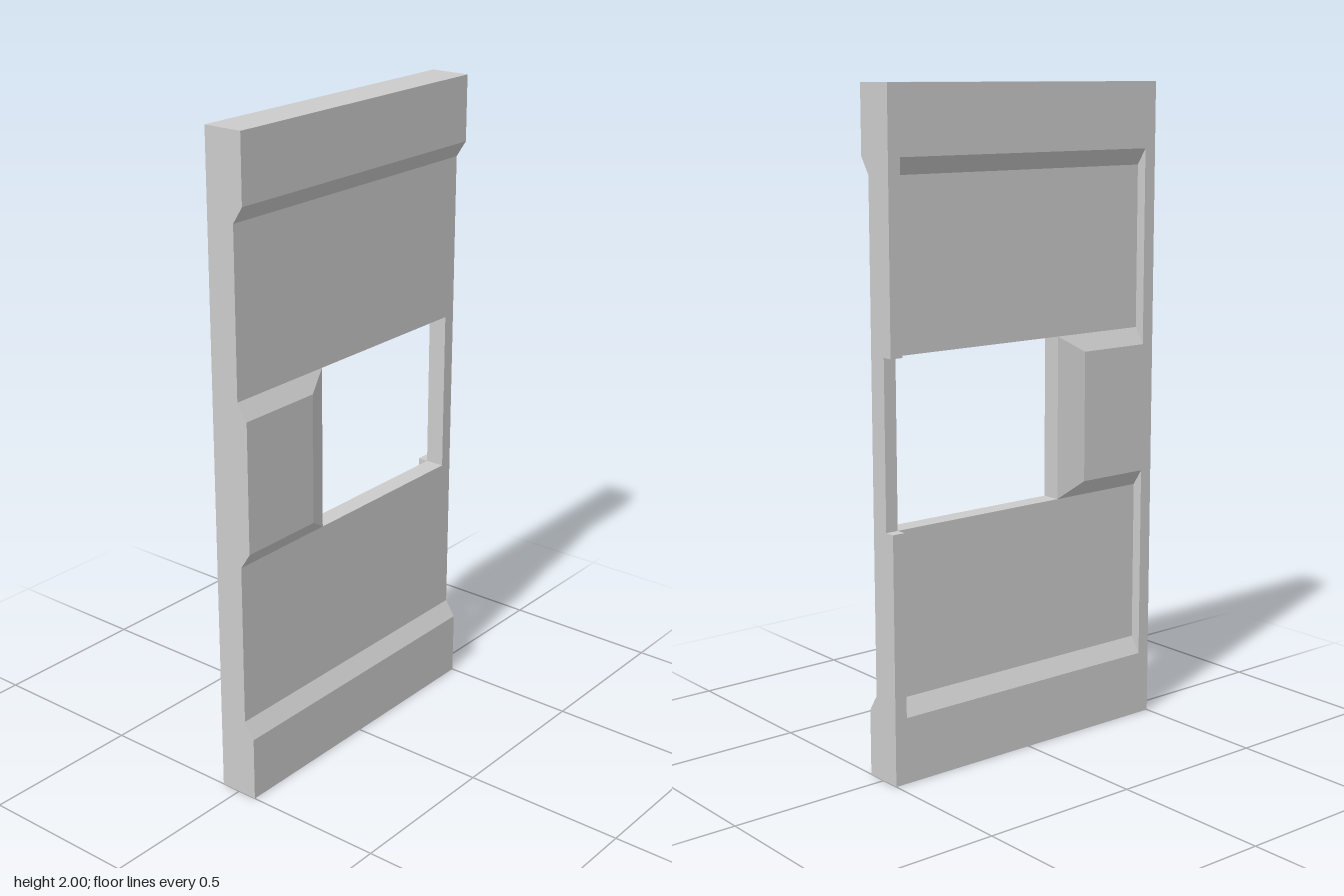
import * as THREE from 'three';

const CORE = 0.03;   // half thickness of the recessed slab
const FACE = 0.0625; // half thickness at the raised parts

const material = new THREE.MeshStandardMaterial({ color: 0xcccccc, flatShading: true });

// Raised strip on one face: ys = [inner low, outer low, outer high, inner high],
// running from z0 to z1; slope pushes the outer edge in at z0 to make a bevelled end.
function raised(name, side, ys, z0, z1, slope = 0) {
  const shape = new THREE.Shape([
    new THREE.Vector2(side * CORE, ys[0]),
    new THREE.Vector2(side * FACE, ys[1]),
    new THREE.Vector2(side * FACE, ys[2]),
    new THREE.Vector2(side * CORE, ys[3]),
  ]);
  const geometry = new THREE.ExtrudeGeometry(shape, { depth: z1 - z0, bevelEnabled: false });
  geometry.translate(0, 0, z0);
  const p = geometry.attributes.position;
  for (let i = 0; i < p.count; i++) {
    if (Math.abs(p.getX(i)) > 0.05 && p.getZ(i) < z0 + 1e-4) p.setZ(i, z0 + slope);
  }
  geometry.computeVertexNormals();
  const mesh = new THREE.Mesh(geometry, material);
  mesh.name = name;
  return mesh;
}

// Thin slab with the window opening
function slab() {
  const rect = (Type, z0, z1, y0, y1) => new Type([
    new THREE.Vector2(z0, y0), new THREE.Vector2(z1, y0),
    new THREE.Vector2(z1, y1), new THREE.Vector2(z0, y1),
  ]);
  const shape = rect(THREE.Shape, -0.5, 0.5, 0, 2);
  shape.holes.push(rect(THREE.Path, -0.46, 0.14, 0.75, 1.25));
  const geometry = new THREE.ExtrudeGeometry(shape, { depth: 2 * CORE, bevelEnabled: false });
  geometry.translate(0, 0, -CORE).rotateY(-Math.PI / 2);
  const mesh = new THREE.Mesh(geometry, material);
  mesh.name = 'wallSlab';
  return mesh;
}

export function createModel() {
  const model = new THREE.Group();
  model.name = 'wallPanel';
  model.add(slab());

  // Bands and the block beside the window, on both faces
  for (const side of [1, -1]) {
    model.add(
      raised('bottomBand', side, [0, 0, 0.2, 0.25], -0.5, 0.5),
      raised('topBand', side, [1.75, 1.8, 2, 2], -0.5, 0.5),
      raised('middleBlock', side, [0.75, 0.8, 1.2, 1.25], 0.14, 0.5, 0.08),
    );
  }

  // Upright rims framing the recessed panels on the -x face
  model.add(
    raised('lowerFrontRim', -1, [0.25, 0.2, 0.8, 0.75], 0.46, 0.5),
    raised('upperFrontRim', -1, [1.25, 1.2, 1.8, 1.75], 0.46, 0.5),
    raised('lowerBackRim', -1, [0.25, 0.2, 0.75, 0.75], -0.5, -0.46),
    raised('upperBackRim', -1, [1.25, 1.25, 1.8, 1.75], -0.5, -0.46),
  );
  return model;
}
